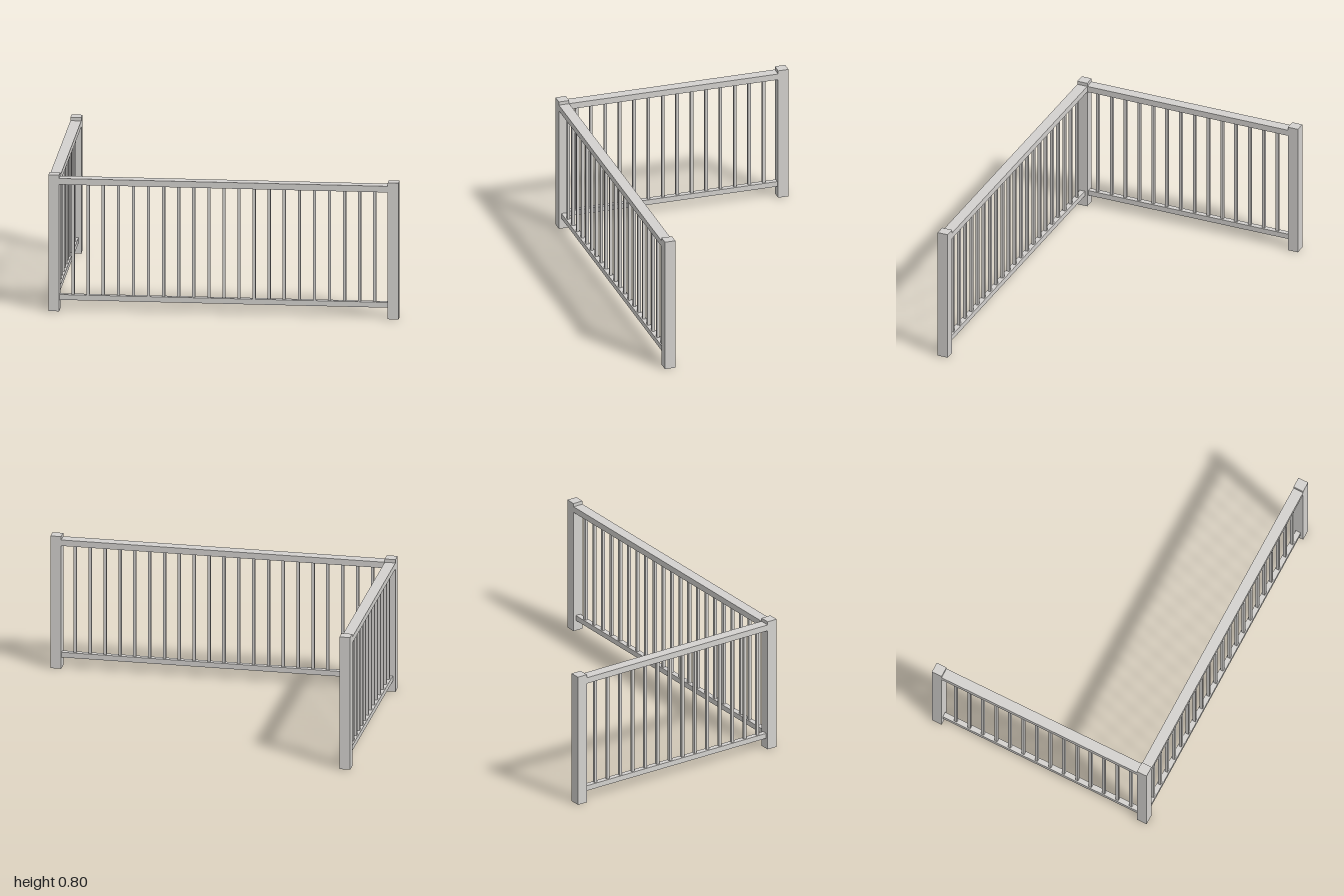
import * as THREE from 'three';

const POST = 0.062, HEIGHT = 0.8;
const X = 1 - POST / 2, Z = 0.687 - POST / 2; // post centre lines
const PITCH = 0.0861, BAR = 0.017;

export function createModel() {
  const model = new THREE.Group();
  model.name = 'cornerRailing';
  const grey = new THREE.MeshStandardMaterial({ color: 0xd4d2cf });
  grey.name = 'lightGrey';

  const addBox = (parent, name, w, h, d, x, y, z) => {
    const mesh = new THREE.Mesh(new THREE.BoxGeometry(w, h, d), grey);
    mesh.name = name;
    mesh.position.set(x, y, z);
    parent.add(mesh);
  };

  // Square posts: corner, front end and back end
  addBox(model, 'cornerPost', POST, HEIGHT, POST, -X, HEIGHT / 2, Z);
  addBox(model, 'frontEndPost', POST, HEIGHT, POST, X, HEIGHT / 2, Z);
  addBox(model, 'backEndPost', POST, HEIGHT, POST, -X, HEIGHT / 2, -Z);

  // A panel runs along its own x axis: handrail, bottom rail and balusters
  const addPanel = (name, length, count, firstBar) => {
    const panel = new THREE.Group();
    panel.name = name;
    addBox(panel, 'topRail', length, 0.036, POST, 0, 0.762, 0);
    addBox(panel, 'bottomRail', length, 0.031, 0.031, 0, 0.079, 0);
    for (let i = 0; i < count; i++) {
      addBox(panel, 'baluster', BAR, 0.65, BAR, firstBar + i * PITCH, 0.42, 0);
    }
    model.add(panel);
    return panel;
  };

  const front = addPanel('frontPanel', 2 * X - POST, 21, -10 * PITCH);
  front.position.z = Z;

  // Side panel, its x axis turned towards -z
  const side = addPanel('sidePanel', 2 * Z - POST, 14, -0.572);
  side.rotation.y = Math.PI / 2;
  side.position.x = -X;

  return model;
}
